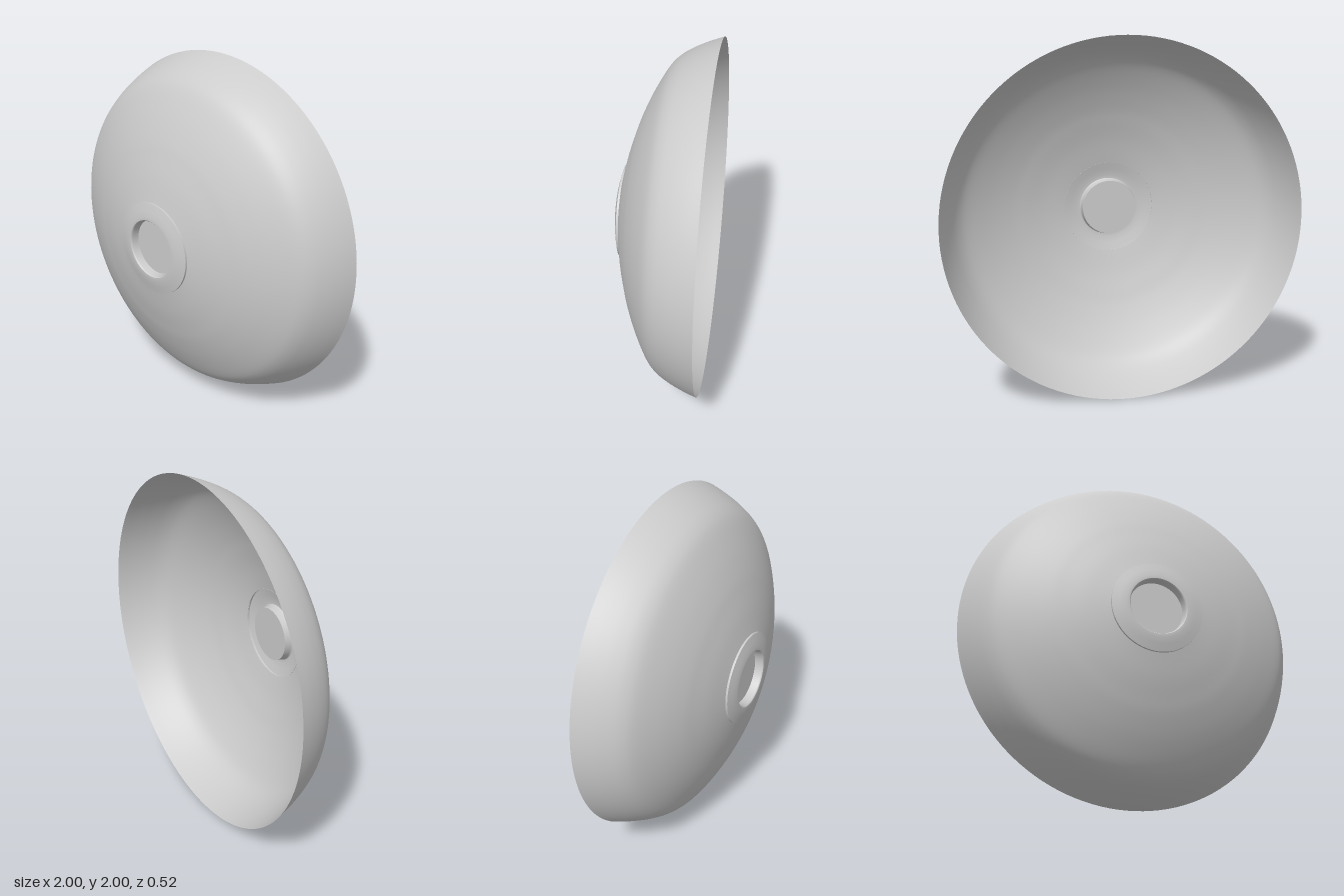
import * as THREE from 'three';

const material = new THREE.MeshStandardMaterial({ color: 0xcccccc, side: THREE.DoubleSide });

// Revolve a list of [radius, z] points around the z axis
function revolve(name, points) {
  const profile = points.map(([r, z]) => new THREE.Vector2(r, z));
  const geometry = new THREE.LatheGeometry(profile, 128);
  geometry.rotateX(Math.PI / 2);
  const mesh = new THREE.Mesh(geometry, material);
  mesh.name = name;
  return mesh;
}

// Smooth a few profile points into a finely sampled curve
function smooth(points, count) {
  const curve = new THREE.SplineCurve(points.map(([r, z]) => new THREE.Vector2(r, z)));
  return curve.getPoints(count).map((p) => [p.x, p.y]);
}

export function createModel() {
  const model = new THREE.Group();
  model.name = 'dish';

  // Thin open shell, from the rim at the back to the hub
  model.add(revolve('dishShell', smooth([
    [1, -0.262], [0.972, -0.185], [0.935, -0.105], [0.89, -0.035], [0.83, 0.018],
    [0.71, 0.085], [0.59, 0.138], [0.5, 0.169], [0.39, 0.202], [0.26, 0.232],
  ], 48)));

  // Raised hub ring: small step, sloped face, rounded inner lip
  const hub = new THREE.Group();
  hub.name = 'hub';
  hub.add(revolve('hubStep', [[0.262, 0.23], [0.262, 0.243]]));
  hub.add(revolve('hubRing', [[0.262, 0.243], [0.22, 0.254], [0.185, 0.262], [0.166, 0.262]]));

  // Recessed centre with a slightly tapered wall and flat floor
  hub.add(revolve('recessWall', smooth([
    [0.166, 0.262], [0.161, 0.255], [0.158, 0.235], [0.156, 0.213],
  ], 12)));
  hub.add(revolve('recessFloor', [[0.156, 0.213], [0, 0.213]]));
  model.add(hub);

  model.position.y = 1;
  const root = new THREE.Group();
  root.name = 'model';
  root.add(model);
  return root;
}
